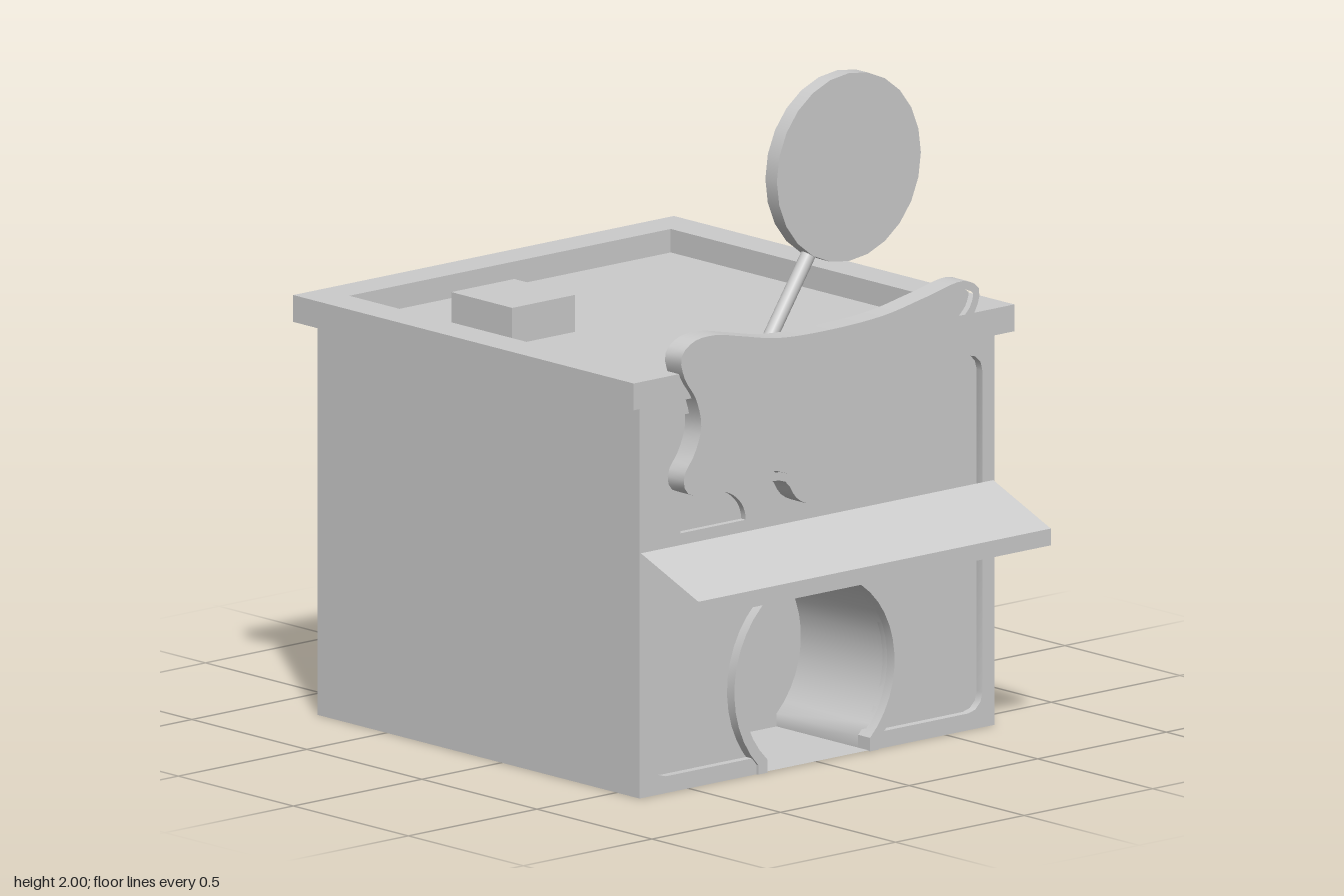
import * as THREE from 'three';
import { toCreasedNormals } from 'three/addons/utils/BufferGeometryUtils.js';

const solid = new THREE.MeshStandardMaterial({ color: 0xcccccc });
const sheet = new THREE.MeshStandardMaterial({ color: 0xcccccc, side: THREE.DoubleSide });

const toPoints = (pairs) => pairs.map(([x, y]) => new THREE.Vector2(x, y));

// Extrude a shape from z0 to z1, keeping hard edges sharp.
function slab(shape, z0, z1) {
  const geo = new THREE.ExtrudeGeometry(shape, { depth: z1 - z0, bevelEnabled: false, curveSegments: 12 });
  geo.translate(0, 0, z0);
  return toCreasedNormals(geo, 0.6);
}

// Sweep an open xy outline between two depths.
function ribbon(points, z0, z1) {
  const n = points.length;
  const geo = new THREE.PlaneGeometry(1, 1, n - 1, 1);
  const pos = geo.attributes.position;
  for (let i = 0; i < n; i++) {
    pos.setXYZ(i, points[i].x, points[i].y, z0);
    pos.setXYZ(i + n, points[i].x, points[i].y, z1);
  }
  geo.computeVertexNormals();
  return geo;
}

// Keyhole doorway outline, from the right foot over the arch to the left foot.
function keyhole(radius, foot) {
  const cy = 0.257, start = -Math.acos(foot / radius), end = Math.PI - start;
  const pts = [new THREE.Vector2(foot, 0)];
  for (let i = 0; i <= 32; i++) {
    const a = start + (end - start) * i / 32;
    pts.push(new THREE.Vector2(radius * Math.cos(a), cy + radius * Math.sin(a)));
  }
  pts.push(new THREE.Vector2(-foot, 0));
  return pts;
}

// Move each point of a clockwise closed outline inwards.
function inset(points, d) {
  const n = points.length;
  return points.map((p, i) => {
    const t = points[(i + 1) % n].clone().sub(points[(i + n - 1) % n]).normalize();
    return new THREE.Vector2(p.x + t.y * d, p.y - t.x * d);
  });
}

export function createModel() {
  const model = new THREE.Group();
  const add = (name, geo, mat = solid, x = 0, y = 0, z = 0) => {
    const mesh = new THREE.Mesh(geo, mat);
    mesh.name = name;
    mesh.position.set(x, y, z);
    model.add(mesh);
    return mesh;
  };

  // Side and back walls; the underside is open
  for (const s of [1, -1]) {
    add(s > 0 ? 'leftWall' : 'rightWall', new THREE.PlaneGeometry(1.4, 1.17), sheet, s * 0.69, 0.585, -0.1)
      .rotation.y = s * Math.PI / 2;
  }
  add('backWall', new THREE.PlaneGeometry(1.38, 1.17), sheet, 0, 0.585, -0.8).rotation.y = Math.PI;

  // Recessed front panel with doorway and half-round window
  const door = keyhole(0.295, 0.2);
  const panel = new THREE.Shape([
    ...toPoints([[-0.69, 0], [-0.69, 1.17], [0.69, 1.17], [0.69, 0]]), ...door,
  ]);
  const windowHole = new THREE.Path();
  windowHole.moveTo(-0.255, 0.757);
  windowHole.absellipse(-0.382, 0.757, 0.127, 0.103, 0, Math.PI, false);
  windowHole.closePath();
  panel.holes.push(windowHole);
  add('frontPanel', slab(panel, 0.555, 0.575));
  add('windowBack', new THREE.PlaneGeometry(0.27, 0.12), sheet, -0.382, 0.808, 0.554);

  // Raised border around the front panel
  const corner = (x, y, a0) => [0, 1, 2, 3].map((i) => {
    const a = a0 - i * Math.PI / 6;
    return [x + 0.055 * Math.cos(a), y + 0.055 * Math.sin(a)];
  });
  const border = [
    [-0.69, 0], [-0.69, 1.17], [0.69, 1.17], [0.69, 0], [0.22, 0], [0.22, 0.05],
    ...[...corner(0.588, 0.105, 0)].reverse(),
    ...[...corner(0.588, 1.062, Math.PI / 2)].reverse(),
    ...[...corner(-0.588, 1.062, Math.PI)].reverse(),
    ...[...corner(-0.588, 0.105, Math.PI * 1.5)].reverse(),
    [-0.22, 0.05], [-0.22, 0],
  ];
  add('frontBorder', slab(new THREE.Shape(toPoints(border)), 0.575, 0.6));

  // Doorway trim and the short tunnel behind it
  const trim = new THREE.Shape([...keyhole(0.328, 0.235), ...[...door].reverse()]);
  add('doorTrim', slab(trim, 0.575, 0.607));
  add('tunnelWall', ribbon(door, 0.57, 0.2), sheet);
  add('tunnelBack', new THREE.ShapeGeometry(new THREE.Shape(door)), sheet, 0, 0, 0.2);
  add('tunnelFloor', new THREE.PlaneGeometry(0.4, 0.4), sheet, 0, 0.002, 0.4).rotation.x = -Math.PI / 2;

  // Roof rim with sunken deck
  const rim = new THREE.Shape(toPoints([[-0.74, -0.63], [0.74, -0.63], [0.74, 0.85], [-0.74, 0.85]]));
  rim.holes.push(new THREE.Path(toPoints([[-0.625, -0.505], [-0.625, 0.735], [0.625, 0.735], [0.625, -0.505]])));
  add('roofRim', slab(rim, 0, 0.08), solid, 0, 1.17, 0).rotation.x = -Math.PI / 2;
  add('roofDeck', new THREE.PlaneGeometry(1.3, 1.3), sheet, 0, 1.18, -0.115).rotation.x = -Math.PI / 2;
  add('roofBox', new THREE.BoxGeometry(0.245, 0.11, 0.265), solid, -0.363, 1.235, -0.315);

  // Sloping awning and its hanging lip
  const slope = new THREE.PlaneGeometry(1.37, Math.hypot(0.25, 0.1));
  add('awning', slope, sheet, 0, 0.68, 0.725).rotation.x = -Math.atan2(0.25, 0.1);
  add('awningLip', new THREE.PlaneGeometry(1.37, 0.05), sheet, 0, 0.605, 0.85);

  // Wavy signboard: clockwise outline, raised edge and recessed face
  const wave = [
    [-0.572, 1.305], [-0.525, 1.343], [-0.44, 1.35], [-0.35, 1.333], [-0.2, 1.303], [0, 1.295],
    [0.22, 1.305], [0.38, 1.333], [0.53, 1.357], [0.585, 1.325], [0.575, 1.27], [0.52, 1.205],
    [0.49, 1.1], [0.492, 0.995], [0.515, 0.885], [0.543, 0.835], [0.525, 0.79], [0.46, 0.778],
    [0.2, 0.782], [-0.06, 0.785], [-0.125, 0.815], [-0.165, 0.868], [-0.22, 0.88], [-0.36, 0.88],
    [-0.5, 0.88], [-0.553, 0.9], [-0.562, 0.945], [-0.52, 1.01], [-0.495, 1.085], [-0.515, 1.17],
    [-0.56, 1.24],
  ];
  const curve = new THREE.CatmullRomCurve3(wave.map(([x, y]) => new THREE.Vector3(x, y, 0)), true);
  const outline = curve.getSpacedPoints(140).slice(0, -1).map((p) => new THREE.Vector2(p.x, p.y));
  const inner = inset(outline, 0.025);
  const edge = new THREE.Shape(outline);
  edge.holes.push(new THREE.Path(inner));
  add('signEdge', slab(edge, 0.58, 0.65));
  add('signFace', slab(new THREE.Shape(inner), 0.58, 0.63));

  // Round sign on a leaning pole
  add('roundSign', new THREE.CylinderGeometry(0.28, 0.28, 0.05, 24), solid, 0.213, 1.72, 0.475)
    .rotation.x = Math.PI / 2;
  const foot = new THREE.Vector3(-0.125, 1.175, 0.475), tip = new THREE.Vector3(0.1, 1.51, 0.475);
  const lean = tip.clone().sub(foot);
  const pole = add('signPole', new THREE.CylinderGeometry(0.022, 0.022, lean.length(), 16));
  pole.position.copy(foot).add(tip).multiplyScalar(0.5);
  pole.quaternion.setFromUnitVectors(new THREE.Vector3(0, 1, 0), lean.normalize());

  return model;
}
